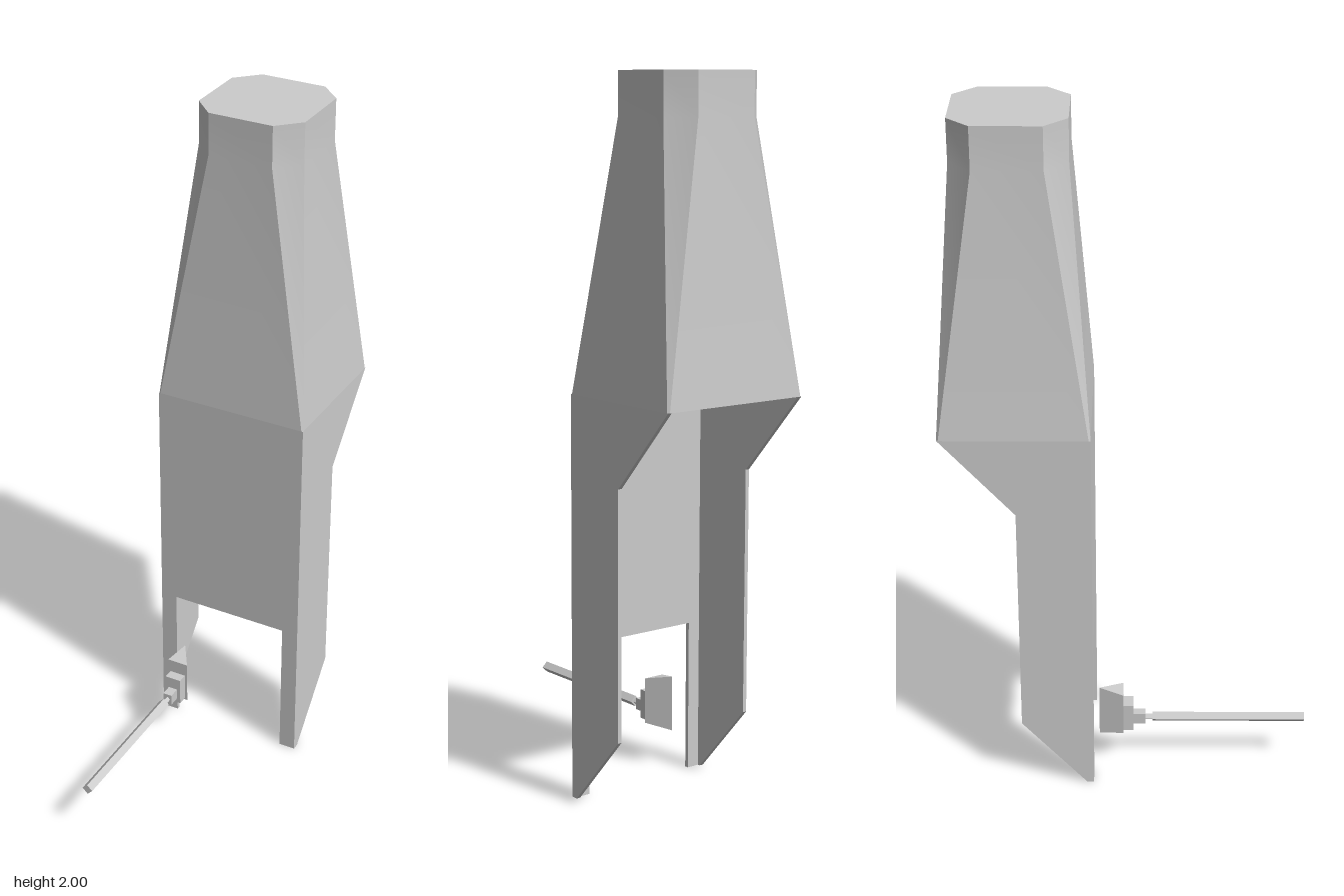
import * as THREE from 'three';
import { toCreasedNormals } from 'three/addons/utils/BufferGeometryUtils.js';
import { ConvexGeometry } from 'three/addons/geometries/ConvexGeometry.js';

const T = 0.012;        // wall thickness
const HX = 0.23;        // half width of the shell
const FRONT = -0.1;     // z of the front wall
const EAVE = 1.14;      // height where the taper starts
const ZC = -0.308;      // z of the flue axis

// Eight-point ring: a rectangle with cut corners
function ring(hx, hz, c, y) {
  const quarter = [[hx, hz - c], [hx - c, hz]];
  const pts = [
    quarter[0], quarter[1],
    [-quarter[1][0], hz], [-hx, quarter[0][1]],
    [-hx, -quarter[0][1]], [-quarter[1][0], -hz],
    [quarter[1][0], -hz], [hx, -quarter[0][1]],
  ];
  return pts.map(([x, z]) => [x, y, ZC + z]);
}

// Skin a run of rings; upward runs face out, downward runs face in
function loft(rings) {
  const n = rings[0].length, index = [];
  for (let r = 0; r < rings.length - 1; r++) {
    for (let i = 0; i < n; i++) {
      const j = (i + 1) % n;
      const a = r * n + i, b = r * n + j, c = b + n, d = a + n;
      if (r > 0) index.push(a, c, b);
      if (r < rings.length - 2) index.push(a, d, c);
    }
  }
  const geo = new THREE.BufferGeometry();
  geo.setAttribute('position', new THREE.Float32BufferAttribute(rings.flat(2), 3));
  geo.setIndex(index);
  return toCreasedNormals(geo, 0.5);
}

function extrude(points, depth) {
  const shape = new THREE.Shape(points.map(([x, y]) => new THREE.Vector2(x, y)));
  return new THREE.ExtrudeGeometry(shape, { depth, bevelEnabled: false });
}

export function createModel() {
  const model = new THREE.Group();
  const grey = new THREE.MeshStandardMaterial({ color: 0xcccccc });
  const add = (parent, name, geo, x = 0, y = 0, z = 0) => {
    const mesh = new THREE.Mesh(geo, grey);
    mesh.name = name;
    mesh.position.set(x, y, z);
    parent.add(mesh);
    return mesh;
  };

  // Hollow tapered hood: ceiling, inner skin, rim, outer skin and lid
  const shell = new THREE.Group();
  shell.name = 'chimneyShell';
  model.add(shell);
  add(shell, 'hood', loft([
    ring(0, 0, 0, 2 - T),
    ring(0.158 - T, 0.157 - T, 0.058, 2 - T),
    ring(0.158 - T, 0.157 - T, 0.058, 1.88),
    ring(HX - T, 0.208 - T, 0.003, EAVE),
    ring(HX, 0.208, 0.005, EAVE),
    ring(0.158, 0.157, 0.063, 1.88),
    ring(0.158, 0.157, 0.063, 2),
    ring(0, 0, 0, 2),
  ]));

  // Front wall with the fireplace opening
  add(shell, 'frontWall', extrude([
    [-HX, 0], [-0.18, 0], [-0.18, 0.435], [0.18, 0.435],
    [0.18, 0], [HX, 0], [HX, EAVE], [-HX, EAVE],
  ], T), 0, 0, FRONT - T);

  // Side walls, slanted at the foot and under the hood
  const sideGeo = extrude([
    [0.1 + T, 0], [0.12, 0], [0.308, 0.21], [0.308, 0.91], [0.515, EAVE], [0.1 + T, EAVE],
  ], T).rotateY(Math.PI / 2);
  add(shell, 'leftWall', sideGeo, HX - T);
  add(shell, 'rightWall', sideGeo, -HX);

  // Hatchet with its handle pointing forward
  const hatchet = new THREE.Group();
  hatchet.name = 'hatchet';
  hatchet.position.set(-0.13, 0.165, 0);
  model.add(hatchet);
  const rod = (name, r, z0, z1) => {
    const geo = new THREE.CylinderGeometry(r, r, z1 - z0, 4).rotateX(Math.PI / 2);
    add(hatchet, name, toCreasedNormals(geo.toNonIndexed(), 0.5), 0, 0, (z0 + z1) / 2);
  };
  rod('handle', 0.016, 0.072, 0.52);
  rod('neck', 0.009, 0.048, 0.074);
  add(hatchet, 'socket', new THREE.BoxGeometry(0.028, 0.034, 0.036), 0, 0, 0.033);
  add(hatchet, 'collar', new THREE.BoxGeometry(0.05, 0.086, 0.032), 0, 0.011, 0);

  // Wedge blade flaring toward its edge
  const wedge = [];
  for (const s of [-1, 1]) {
    wedge.push(
      new THREE.Vector3(-0.032, 0.029 + s * 0.067, -0.014),
      new THREE.Vector3(0.033, 0.029 + s * 0.067, -0.014),
      new THREE.Vector3(-0.012, 0.029 + s * 0.081, -0.084),
    );
  }
  add(hatchet, 'blade', new ConvexGeometry(wedge));
  return model;
}
